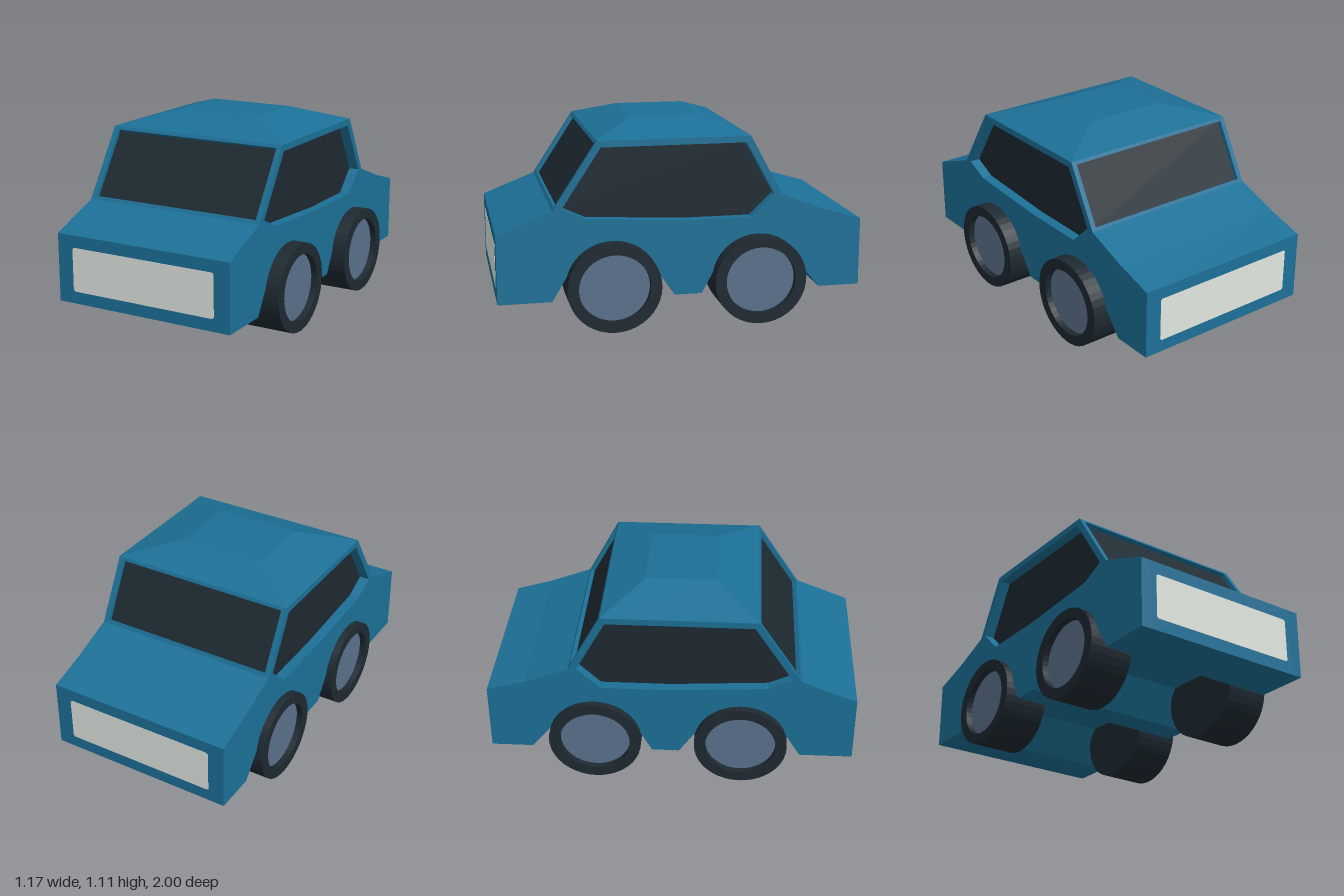
import * as THREE from 'three';

const mat = (name, color) => {
  const m = new THREE.MeshStandardMaterial({ color });
  m.name = name;
  return m;
};

export function createModel() {
  const paint = mat('blue paint', 0x1c7097);
  const dark = mat('dark glass and rubber', 0x1d2931);
  const hubGrey = mat('hub blue grey', 0x5a718b);
  const lamp = mat('pale lamp', 0xe0e6e0);

  const car = new THREE.Group();
  car.name = 'car';
  const add = (name, geometry, material, parent = car) => {
    const mesh = new THREE.Mesh(geometry, material);
    mesh.name = name;
    parent.add(mesh);
    return mesh;
  };
  const vecs = (pts) => pts.map(([a, b]) => new THREE.Vector2(a, b));

  // Extrudes a (z, y) outline sideways from xa to xb
  const slab = (pts, xa, xb, hole) => {
    const shape = new THREE.Shape(vecs(pts));
    if (hole) shape.holes.push(new THREE.Path(vecs(hole)));
    return new THREE.ExtrudeGeometry(shape, { depth: Math.abs(xb - xa), bevelEnabled: false })
      .rotateY(-Math.PI / 2).translate(Math.max(xa, xb), 0, 0);
  };

  // Body centre line, half width, side panel thickness and side window depth
  const MID = -0.02, HALF = 0.523, SKIN = 0.028, DEEP = 0.06;
  const screenLow = [0.70, 0.66], screenTop = [0.46, 1.025];
  const rearTop = [-0.37, 1.025], rearLow = [-0.55, 0.695];

  // Recess cut into a sloping edge running from a to b, ordered along the outline
  const recess = (a, b, t0, t1, depth) => {
    const dz = b[0] - a[0], dy = b[1] - a[1], len = Math.hypot(dz, dy);
    const at = (t, d) => [a[0] + dz * t - (dy / len) * d, a[1] + dy * t + (dz / len) * d];
    return [at(t0, 0), at(t0, depth), at(t1, depth), at(t1, 0)];
  };
  const frontEdge = [screenLow, screenTop, 0.05, 0.955];
  const rearEdge = [rearTop, rearLow, 0.05, 0.95];

  // Side profile, with optional recesses for the front and rear windows
  const profile = (frontCut = [], rearCut = []) => [
    [0.999, 0.167], [0.999, 0.543], screenLow, ...frontCut, screenTop,
    rearTop, ...rearCut, rearLow, [-0.79, 0.605], [-0.999, 0.543], [-0.999, 0.167],
    [-0.77, 0.167], [-0.618, 0.35], [-0.204, 0.35], [-0.105, 0.167],
    [0.045, 0.167], [0.172, 0.35], [0.60, 0.35], [0.71, 0.167],
  ];
  const notched = profile(recess(...frontEdge, 0.027), recess(...rearEdge, 0.027));
  const sideWindow = [
    [0.65, 0.67], [0.44, 0.99], [-0.345, 0.99], [-0.505, 0.70],
    [-0.38, 0.58], [0, 0.58], [0.52, 0.61],
  ];

  // Body core, then on each side an inner and outer panel around a deep window
  add('bodyCore', slab(notched, MID - HALF + DEEP, MID + HALF - DEEP), paint);
  for (const [label, s] of [['left', 1], ['right', -1]]) {
    const x = (depth) => MID + s * (HALF - depth);
    add(label + 'InnerPanel', slab(notched, x(DEEP), x(SKIN), sideWindow), paint);
    add(label + 'SidePanel', slab(profile(), x(SKIN), x(0), sideWindow), paint);
    add(label + 'Window', slab(sideWindow, x(DEEP + 0.002), x(DEEP - 0.003)), dark);
  }

  // Windscreen and rear window lying on the floor of their recesses
  const glass = (edge) => {
    const outer = recess(...edge, 0.024), inner = recess(...edge, 0.028);
    return slab([outer[1], outer[2], inner[2], inner[1]], MID - HALF + SKIN, MID + HALF - SKIN);
  };
  add('windscreen', glass(frontEdge), dark);
  add('rearWindow', glass(rearEdge), dark);

  // Roof: a box whose top is drawn in to a smaller rectangle
  const roofBox = new THREE.BoxGeometry(1, 1, 1).toNonIndexed();
  const p = roofBox.attributes.position;
  for (let i = 0; i < p.count; i++) {
    const top = p.getY(i) > 0, side = Math.sign(p.getX(i)), fore = p.getZ(i) > 0;
    if (top) p.setXYZ(i, MID + side * 0.242, 1.108, fore ? 0.235 : -0.15);
    else p.setXYZ(i, MID + side * HALF, 1.025, fore ? 0.46 : -0.37);
  }
  roofBox.computeVertexNormals();
  add('roof', roofBox, paint);

  // Front and rear lamp panels with clipped corners
  const w = 0.431, h = 0.121, c = 0.009;
  const panel = new THREE.Shape(vecs([
    [-w + c, -h], [w - c, -h], [w, -h + c], [w, h - c],
    [w - c, h], [-w + c, h], [-w, h - c], [-w, -h + c],
  ]));
  const panelGeo = new THREE.ExtrudeGeometry(panel, { depth: 0.004, bevelEnabled: false });
  add('frontLampPanel', panelGeo, lamp).position.set(MID, 0.355, 0.996);
  add('rearLampPanel', panelGeo, lamp).position.set(MID, 0.355, -1);

  // Wheels: thick tyre with a sunken hub on the outer side
  const half = 0.126, hubR = 0.76;
  const tyreGeo = new THREE.LatheGeometry(vecs([
    [0, -half], [1, -half], [1, half], [hubR, half], [hubR, half - 0.035],
  ]), 40).rotateZ(-Math.PI / 2).toNonIndexed();
  tyreGeo.computeVertexNormals();
  const hubGeo = new THREE.CylinderGeometry(hubR, hubR, 0.01, 40)
    .rotateZ(-Math.PI / 2).translate(half - 0.04, 0, 0);
  for (const [end, z] of [['front', 0.383], ['rear', -0.417]]) {
    for (const side of [1, -1]) {
      const wheel = new THREE.Group();
      wheel.name = end + (side > 0 ? 'Left' : 'Right') + 'Wheel';
      add('tyre', tyreGeo, dark, wheel);
      add('hub', hubGeo, hubGrey, wheel);
      wheel.scale.set(1, 0.243, 0.254);
      wheel.position.set(side * 0.457, 0.243, z);
      if (side < 0) wheel.rotation.y = Math.PI;
      car.add(wheel);
    }
  }
  return car;
}
